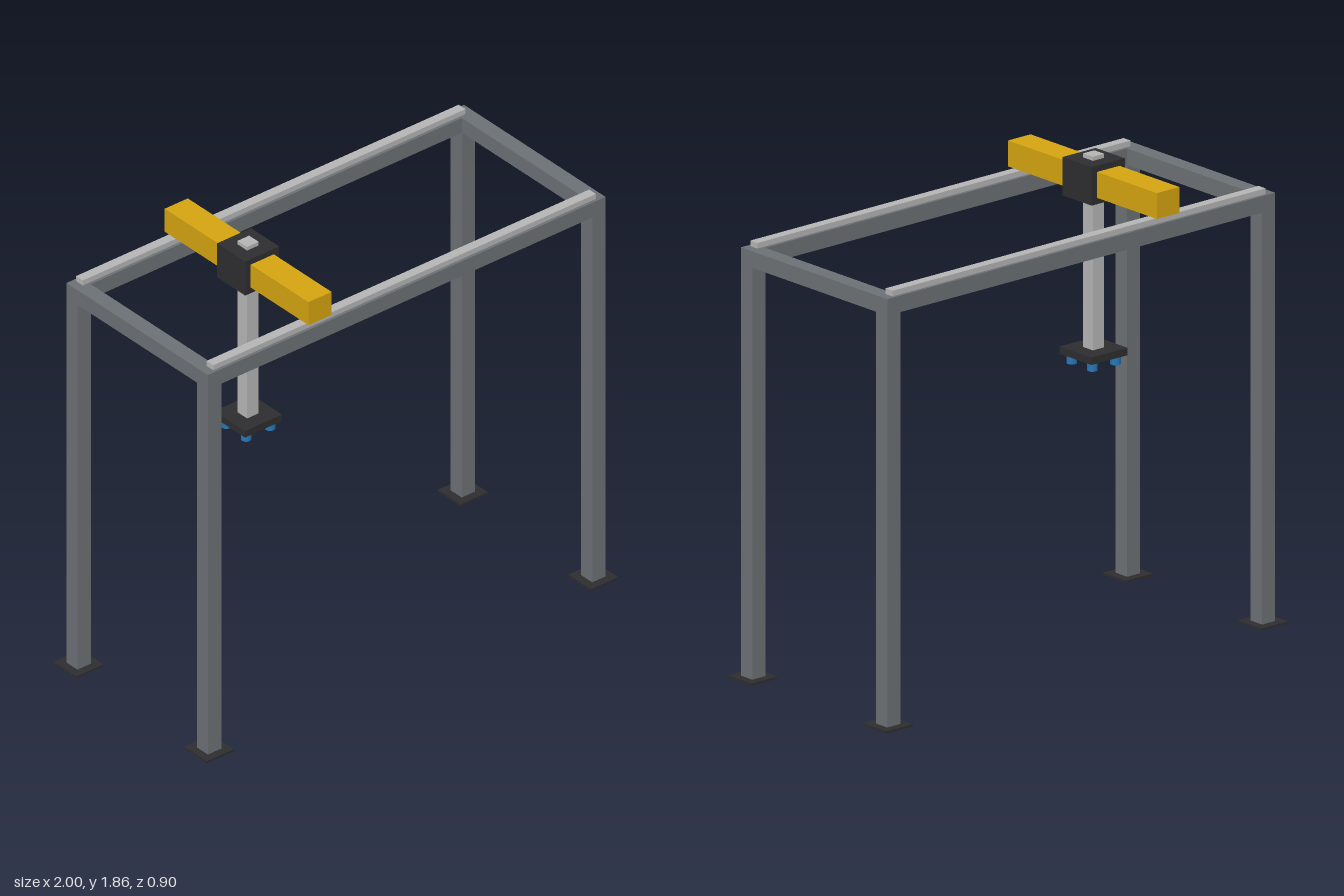
import * as THREE from 'three';

const material = (name, color) => {
  const m = new THREE.MeshStandardMaterial({ color });
  m.name = name;
  return m;
};

export function createModel() {
  const steel = material('frame grey', 0x6b7074);
  const alloy = material('light aluminium', 0xb4b4b4);
  const yellow = material('safety yellow', 0xd4a310);
  const dark = material('charcoal', 0x2d2d2f);
  const blue = material('suction blue', 0x2576b4);

  const root = new THREE.Group();
  root.name = 'gantryRobot';

  const add = (parent, name, geometry, mat, x, y, z) => {
    const mesh = new THREE.Mesh(geometry, mat);
    mesh.name = name;
    mesh.position.set(x, y, z);
    parent.add(mesh);
    return mesh;
  };
  // Box placed by its bottom and top heights
  const box = (parent, name, mat, w, d, y0, y1, x = 0, z = 0) =>
    add(parent, name, new THREE.BoxGeometry(w, y1 - y0, d), mat, x, (y0 + y1) / 2, z);

  const PX = 0.934, PZ = 0.382, T = 0.065; // post centres and tube size
  const TOP = 1.695, UNDER = TOP - T;

  // Fixed frame: posts with foot plates, perimeter beams, guide rails
  const frame = new THREE.Group();
  frame.name = 'frame';
  root.add(frame);
  for (const sx of [-1, 1]) {
    for (const sz of [-1, 1]) {
      box(frame, 'post', steel, T, T, 0.008, TOP, sx * PX, sz * PZ);
      box(frame, 'footPlate', dark, 0.132, 0.132, 0, 0.009, sx * PX, sz * PZ);
    }
    box(frame, 'endBeam', steel, T, 2 * PZ - T, UNDER, TOP, sx * PX, 0);
  }
  for (const sz of [-1, 1]) {
    box(frame, 'longBeam', steel, 2 * PX - T, T, UNDER, TOP, 0, sz * PZ);
    box(frame, 'guideRail', alloy, 1.86, 0.04, TOP, 1.717, 0, sz * PZ);
  }

  // Moving bridge with carriage and vertical axis
  const bridge = new THREE.Group();
  bridge.name = 'bridge';
  bridge.position.x = -0.427;
  root.add(bridge);
  box(bridge, 'bridgeBeam', yellow, 0.112, 0.842, 1.722, 1.824);
  box(bridge, 'carriage', dark, 0.165, 0.165, 1.697, 1.848);
  box(bridge, 'verticalAxis', alloy, 0.056, 0.056, 1.1, 1.864);

  // Gripper plate with four suction cups
  const gripper = new THREE.Group();
  gripper.name = 'gripper';
  bridge.add(gripper);
  box(gripper, 'gripperPlate', dark, 0.18, 0.18, 1.073, 1.102);
  const cup = new THREE.CylinderGeometry(0.02, 0.02, 0.035, 14);
  for (const sx of [-1, 1])
    for (const sz of [-1, 1])
      add(gripper, 'suctionCup', cup, blue, sx * 0.058, 1.0555, sz * 0.058);

  return root;
}
